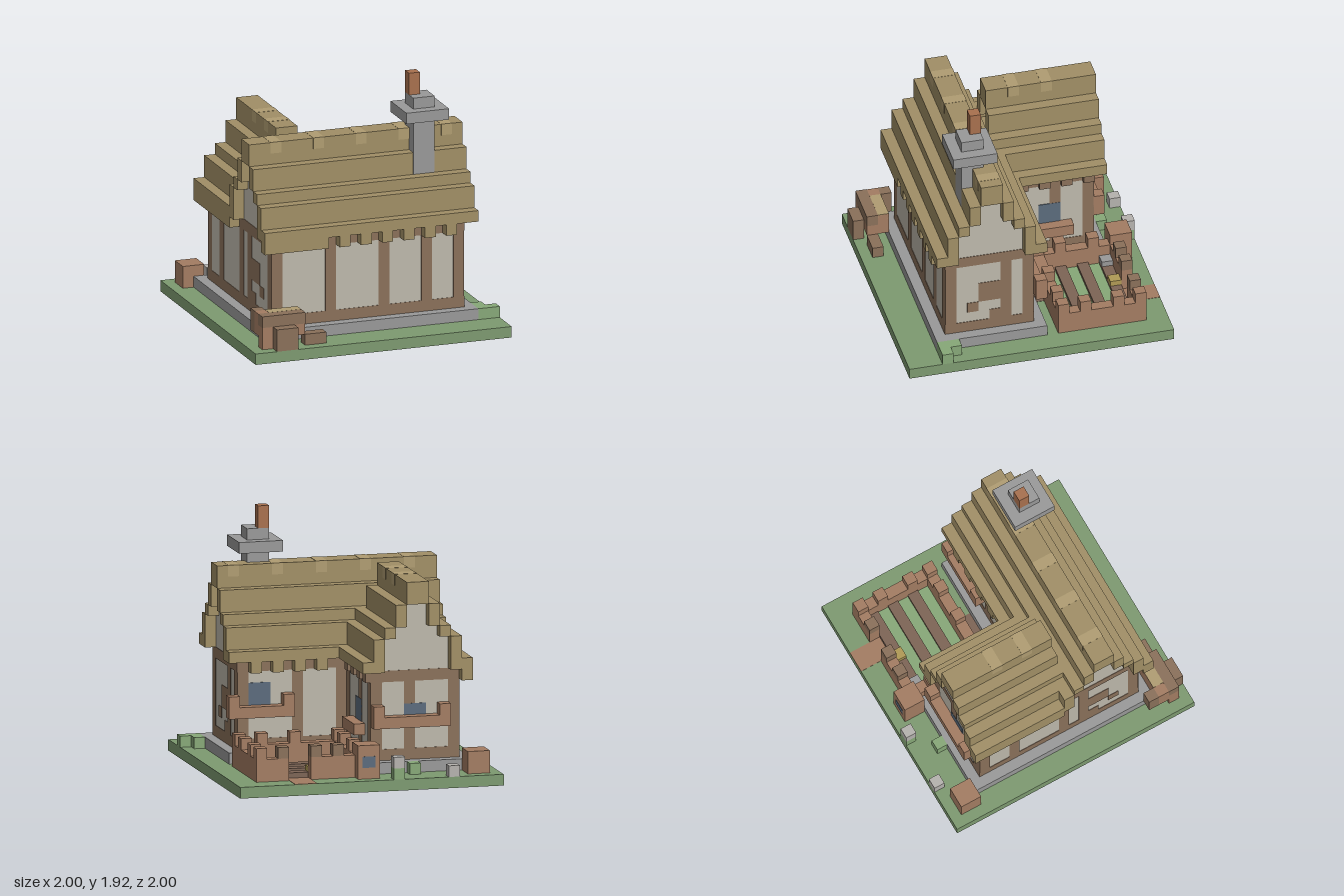
import * as THREE from 'three';

const COLORS = {
  grass: 0x7d9a70, leaf: 0x87a878, thatch: 0xa18f66, straw: 0xb09d72, timber: 0x8a705a,
  wood: 0xa37c62, soil: 0x7d6455, plaster: 0xbdb8ab, stone: 0x999999, pale: 0xb5b2ae,
  brick: 0xa8704e, glass: 0x5b6b7c, yellow: 0xb09a55,
};
const materials = {};
for (const key in COLORS) {
  materials[key] = new THREE.MeshStandardMaterial({ color: COLORS[key], side: THREE.DoubleSide });
}

// Works in block units: the plot is 24 blocks wide
export function createModel() {
  const model = new THREE.Group();
  model.name = 'cottage';
  model.scale.setScalar(1 / 12);

  const section = (name) => {
    const g = new THREE.Group();
    g.name = name;
    model.add(g);
    return g;
  };
  const add = (parent, name, color, geometry) => {
    const mesh = new THREE.Mesh(geometry, materials[color]);
    mesh.name = name;
    parent.add(mesh);
    return mesh;
  };
  // Box from its lower to its upper limits
  const block = (parent, name, color, x0, x1, y0, y1, z0, z1) => {
    const g = new THREE.BoxGeometry(x1 - x0, y1 - y0, z1 - z0);
    g.translate((x0 + x1) / 2, (y0 + y1) / 2, (z0 + z1) / 2);
    return add(parent, name, color, g);
  };
  // L-shaped house plan, grown outward by d
  const plan = (d) => [[-9 - d, 8 + d], [9 + d, 8 + d], [9 + d, -d], [-1 + d, -d], [-1 + d, -8 - d], [-9 - d, -8 - d]]
    .map(([x, z]) => new THREE.Vector2(x, z));
  const ring = (parent, name, color, outer, inner, y0, y1) => {
    const shape = new THREE.Shape(outer);
    shape.holes.push(new THREE.Path(inner));
    const g = new THREE.ExtrudeGeometry(shape, { depth: y1 - y0, bevelEnabled: false });
    g.rotateX(Math.PI / 2).translate(0, y1, 0);
    return add(parent, name, color, g);
  };

  // Plot: a hollow rim with a lawn that leaves the house open below
  const plot = section('plot');
  const square = (s) => [[-s, -s], [s, -s], [s, s], [-s, s]].map(([x, z]) => new THREE.Vector2(x, z));
  ring(plot, 'rim', 'grass', square(12), square(11.95), 0, 1);
  ring(plot, 'lawn', 'grass', square(12), plan(0.9), 0.95, 1);
  block(plot, 'gardenPath', 'wood', 5, 7, 0.9, 1.03, -12, -9);
  block(plot, 'sidePath', 'soil', 2, 5, 0.9, 1.03, -2, -1);
  block(plot, 'bush', 'leaf', 10, 11, 1, 2, 7, 8);
  block(plot, 'bush', 'leaf', 10, 12, 1, 2, 8, 9);
  block(plot, 'bush', 'leaf', -5, -4, 1, 2, -10, -9);
  block(plot, 'rock', 'pale', -8, -7, 1, 2, -12, -11);
  block(plot, 'flowerStem', 'leaf', -3, -2, 1, 2, -12, -11);
  block(plot, 'flower', 'pale', -3, -2, 2, 3, -12, -11);

  // Footing and plaster walls
  const house = section('house');
  ring(house, 'footing', 'stone', plan(1), plan(-0.15), 1, 2);
  ring(house, 'walls', 'plaster', plan(0), plan(-0.15), 2, 10);
  ring(house, 'sillBeam', 'timber', plan(0.04), plan(-0.2), 2, 3);
  ring(house, 'topBeam', 'timber', plan(0.04), plan(-0.2), 9, 10);

  // Timbers and windows laid on a wall: axis is the wall's normal, at its position
  const onWall = (axis, at, name, color, a0, a1, y0, y1, proud = 0.04) => {
    const out = at > 0 || (axis === 'x' && at === -1) || (axis === 'z' && at === 0) ? 1 : -1;
    const dir = axis === 'z' && at === 0 ? -1 : axis === 'x' && at === -1 ? 1 : out;
    const n0 = Math.min(at + dir * proud, at - dir * 0.2);
    const n1 = Math.max(at + dir * proud, at - dir * 0.2);
    if (axis === 'x') block(house, name, color, n0, n1, y0, y1, a0, a1);
    else block(house, name, color, a0, a1, y0, y1, n0, n1);
  };
  const posts = (axis, at, list) => list.forEach((a) => onWall(axis, at, 'post', 'timber', a, a + 1, 2, 10));
  posts('z', 8, [-9, -4, 1, 5, 8]);
  posts('z', 0, [-1, 3, 8]);
  posts('z', -8, [-9, -5, -2]);
  posts('x', -1, [-8, -5, -1]);
  posts('x', 9, [0, 2, 7]);
  posts('x', -9, [-8, -5, 0, 2, 7]);
  for (const x of [9, -9]) {
    // Stepped braces of the gable ends
    onWall('x', x, 'brace', 'timber', 3, 5, 5, 7);
    onWall('x', x, 'brace', 'timber', 5, 6, 4, 5);
    onWall('x', x, 'brace', 'timber', 3, 4, 3, 4);
  }
  onWall('z', 0, 'window', 'glass', 6, 8, 5, 8, 0.06);
  onWall('z', -8, 'window', 'glass', -6, -4, 5, 7, 0.06);
  onWall('x', -1, 'window', 'glass', -5, -3, 5, 7, 0.06);

  // Window boxes
  const windowBox = (x0, x1, z) => {
    block(house, 'windowBox', 'wood', x0, x1, 5, 6, z - 1, z);
    for (const x of [x0, x1 - 1]) block(house, 'windowBoxEnd', 'wood', x, x + 1, 6, 7, z - 1, z);
  };
  windowBox(4, 10, 0);
  windowBox(-8, -1, -8);
  block(house, 'windowBox', 'wood', -1, 0, 4, 5, -6, -2);

  // Stepped gable panels: half width, bottom, top
  for (const [w, y0, y1] of [[3, 10, 13], [2, 13, 14], [1, 14, 16]]) {
    block(house, 'gable', 'plaster', 8.85, 9, y0, y1, 4 - w, 4 + w);
    block(house, 'gable', 'plaster', -9, -8.85, y0, y1, 4 - w, 4 + w);
    block(house, 'gable', 'plaster', -5 - w, -5 + w, y0, y1, -8, -7.85);
  }

  // Thatch in stepped courses: outer distance from the ridge, bottom, top
  const roof = section('roof');
  for (const [w, y0, y1] of [[1, 16, 18], [2, 14, 16], [3, 13, 14], [4, 10, 13], [5, 10, 11]]) {
    for (const s of [0, 1]) {
      const z = s ? 4 - w : 3 + w;
      const x = s ? -5 - w : -6 + w;
      block(roof, 'mainThatch', 'thatch', -10, 10, y0, y1, z, z + 1);
      block(roof, 'wingThatch', 'thatch', x, x + 1, y0, y1, -9, Math.min(5 - w, 1));
    }
  }
  // Eave fringe
  block(roof, 'eave', 'thatch', -10, -4, 9, 10, 8, 9);
  block(roof, 'eave', 'thatch', -10, -9, 9, 10, -9, 0);
  for (let x = -3; x < 9; x += 2) {
    block(roof, 'eaveTooth', 'thatch', x, x + 1, 9, 10, 8, 9);
    if (x > 0) block(roof, 'eaveTooth', 'thatch', x, x + 1, 9, 10, -1, 0);
  }
  for (let z = -8; z < -1; z += 2) block(roof, 'rafterEnd', 'timber', -1, -0.5, 9, 10, z, z + 1);
  // Lighter bundles along the ridges
  for (let x = -8; x < 10; x += 4) block(roof, 'ridgeBundle', 'straw', x, x + 1, 17, 18.02, 2.98, 5.02);
  for (const z of [-5, -2]) block(roof, 'ridgeBundle', 'straw', -6.02, -3.98, 17, 18.02, z, z + 1);

  // Chimney
  const chimney = section('chimney');
  block(chimney, 'stack', 'stone', 5, 7, 14, 21, 4, 6.02);
  block(chimney, 'collar', 'stone', 4, 8, 19, 20, 3, 7);
  block(chimney, 'flue', 'brick', 5, 6, 21, 23, 4, 5);

  // Fenced vegetable garden
  const garden = section('garden');
  for (let i = 0; i < 3; i++) {
    block(garden, 'bed', 'soil', 1, 9, 1, 1.5, -9 + 2 * i, -8 + 2 * i);
    block(garden, 'crop', 'leaf', 1, 9, 1, 1.2, -8 + 2 * i, -7 + 2 * i);
  }
  block(garden, 'fenceBack', 'wood', 0, 5, 1, 3, -10, -9);
  block(garden, 'fenceBack', 'wood', 7, 10, 1, 3, -10, -9);
  block(garden, 'fenceFront', 'wood', 0, 10, 1, 3, -3, -2);
  for (const x of [0, 9]) {
    block(garden, 'fenceSide', 'wood', x, x + 1, 1, 3, -9, -3);
    for (const z of [-10, -8, -5, -3]) block(garden, 'fencePost', 'wood', x, x + 1, 3, 4, z, z + 1);
  }
  for (const x of [2, 4, 7]) block(garden, 'fencePost', 'timber', x, x + 1, 3, 4, -10, -9);
  for (const x of [4, 7]) block(garden, 'fencePost', 'wood', x, x + 1, 3, 4, -3, -2);
  block(garden, 'pumpkin', 'yellow', 4, 5, 1, 2, -9, -8);
  block(garden, 'pail', 'stone', 1, 2, 1, 2, -9, -8);

  // Barrels behind the house
  const barrels = section('barrels');
  block(barrels, 'barrel', 'wood', -11, -9, 1, 3, -11, -9);
  block(barrels, 'barrel', 'wood', -1, 1, 1, 4, -11, -9);
  block(barrels, 'barrelBand', 'glass', -0.6, 0.6, 2, 3, -11.03, -10);

  // Crate stand in front of the house
  const stand = section('crateStand');
  block(stand, 'crate', 'wood', -11, -7, 2, 4, 9, 11);
  block(stand, 'crateEnd', 'timber', -11, -10, 2, 4, 8, 9);
  block(stand, 'crateRim', 'timber', -11.02, -6.98, 3, 4.02, 10, 11.02);
  block(stand, 'straw', 'straw', -10, -7, 3.5, 4.03, 9, 10);
  block(stand, 'leg', 'wood', -11, -10, 1, 2, 10, 11);
  block(stand, 'smallCrate', 'timber', -10, -8, 1, 3, 11, 12);
  block(stand, 'lowCrate', 'timber', -7, -5, 1, 2, 10, 11);

  return model;
}
